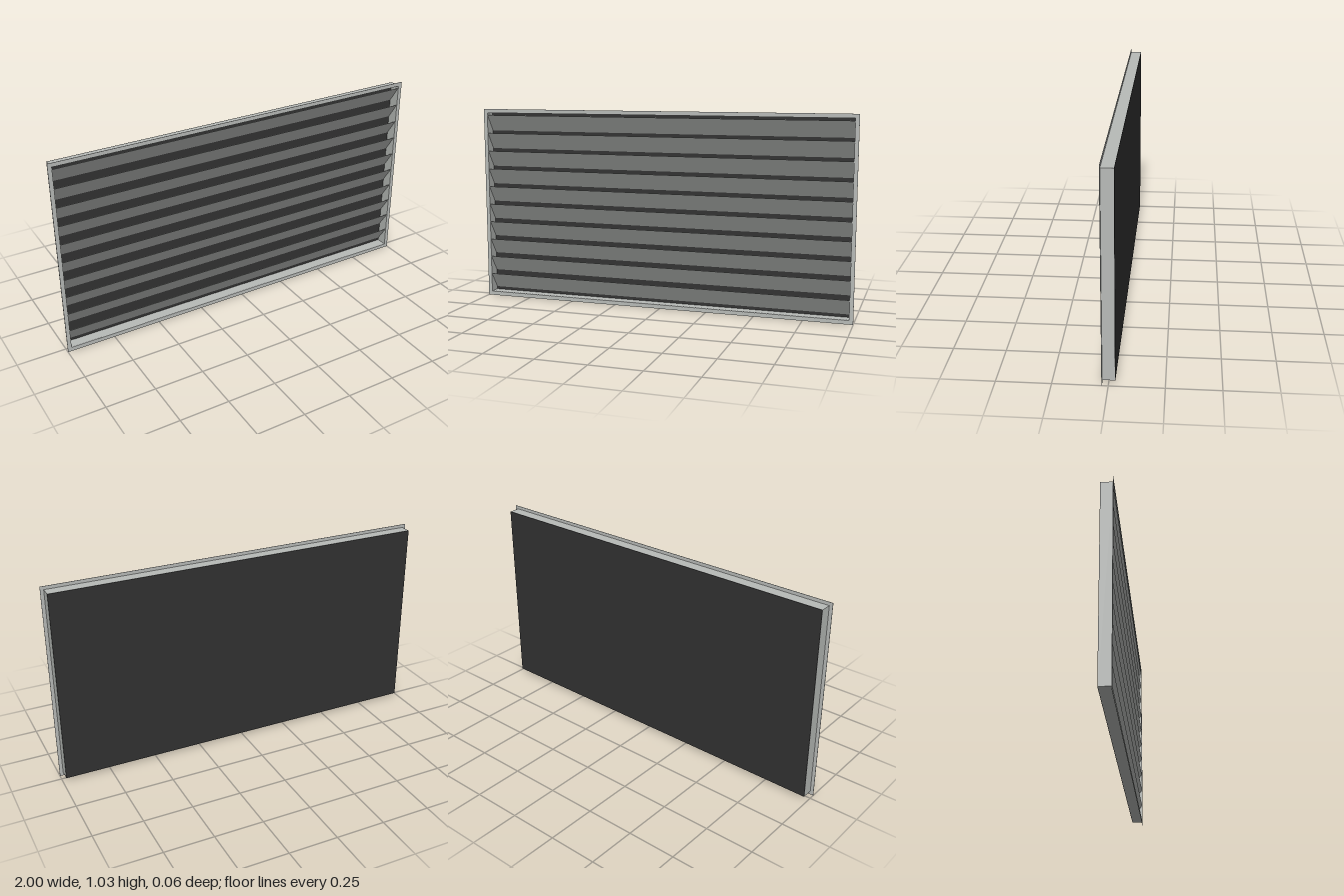
import * as THREE from 'three';

const W = 2, H = 1.03;              // flange outside size
const BOX_W = 1.965, Y0 = 0.018, Y1 = 1.013; // duct box outside size
const ZF = 0.03, ZB = -0.03;        // front and back planes
const T = 0.003;                    // sheet thickness
const SLATS = 10;

export function createModel() {
  const group = new THREE.Group();
  const metal = new THREE.MeshStandardMaterial({ color: 0xb8bbb8 });
  metal.name = 'light grey metal';
  const dark = new THREE.MeshStandardMaterial({ color: 0x323232 });
  dark.name = 'dark backing';

  const add = (name, geometry, material) => {
    const mesh = new THREE.Mesh(geometry, material);
    mesh.name = name;
    group.add(mesh);
    return mesh;
  };

  const rect = (Type, x, y0, y1) => new Type([
    new THREE.Vector2(-x, y0), new THREE.Vector2(x, y0),
    new THREE.Vector2(x, y1), new THREE.Vector2(-x, y1),
  ]);

  // Rectangular ring extruded along z
  const ring = (x, y0, y1, border, z0, z1) => {
    const shape = rect(THREE.Shape, x, y0, y1);
    shape.holes.push(rect(THREE.Path, x - border, y0 + border, y1 - border));
    return new THREE.ExtrudeGeometry(shape, { depth: z1 - z0, bevelEnabled: false })
      .translate(0, 0, z0);
  };

  // Thin front flange and the sheet metal duct behind it
  add('frontFlange', ring(W / 2, 0, H, 0.0205, ZF - 0.002, ZF), metal);
  add('ductWalls', ring(BOX_W / 2, Y0, Y1, T, ZB + 0.002, ZF - 0.002), metal);

  // Dark panel closing the back
  add('backPanel', new THREE.BoxGeometry(BOX_W, Y1 - Y0, 0.002)
    .translate(0, (Y0 + Y1) / 2, ZB + 0.001), dark);

  // Slats slope from the front edge down to the back panel
  const first = 0.036, pitch = 0.0973, rise = 0.085;
  const profile = new THREE.Shape([
    new THREE.Vector2(0.028, rise),
    new THREE.Vector2(0.0255, rise),
    new THREE.Vector2(-0.028, 0.003),
    new THREE.Vector2(-0.028, 0),
  ]);
  const length = BOX_W - 2 * T;
  const slatGeometry = new THREE.ExtrudeGeometry(profile, { depth: length, bevelEnabled: false })
    .translate(0, 0, -length / 2)
    .rotateY(-Math.PI / 2);
  for (let i = 0; i < SLATS; i++) {
    add('slat' + (i + 1), slatGeometry, metal).position.y = first + i * pitch;
  }

  return group;
}
